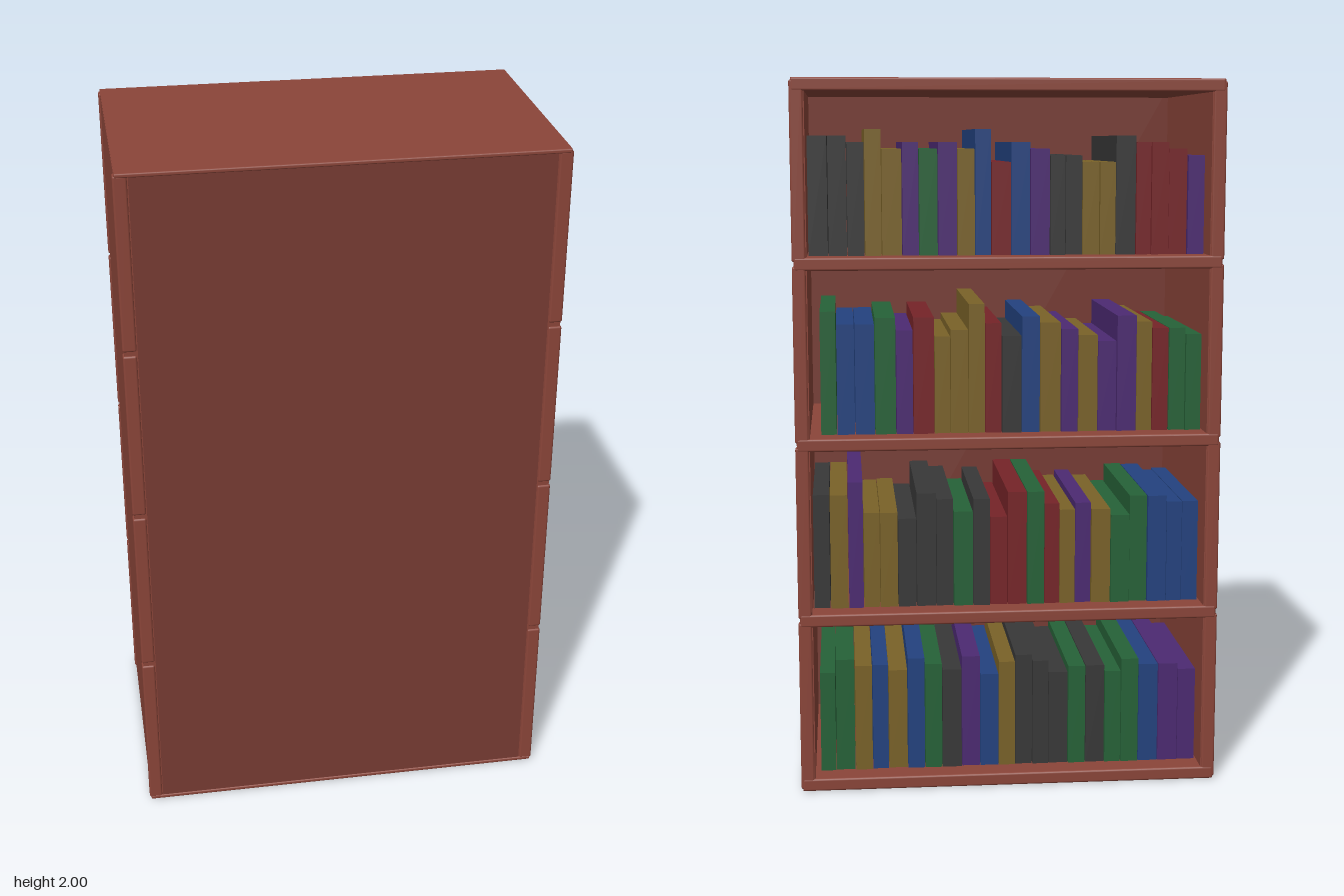
import * as THREE from 'three';
import { RoundedBoxGeometry } from 'three/addons/geometries/RoundedBoxGeometry.js';

const mat = (color) => new THREE.MeshStandardMaterial({ color });

function addBox(parent, name, material, [x0, x1], [y0, y1], [z0, z1], radius = 0) {
  const size = [x1 - x0, y1 - y0, z1 - z0];
  const geometry = radius
    ? new RoundedBoxGeometry(...size, 2, radius)
    : new THREE.BoxGeometry(...size);
  const mesh = new THREE.Mesh(geometry, material);
  mesh.name = name;
  mesh.position.set((x0 + x1) / 2, (y0 + y1) / 2, (z0 + z1) / 2);
  parent.add(mesh);
  return mesh;
}

// Small seeded generator for book widths and depths
function seeded(seed) {
  return () => {
    seed = (seed * 16807) % 2147483647;
    return seed / 2147483647;
  };
}

export function createModel() {
  const model = new THREE.Group();
  model.name = 'bookcase';
  const wood = mat(0x8b4539);
  const panelWood = mat(0x773b33);
  const cover = {
    k: mat(0x383838), b: mat(0x23427f), r: mat(0x762428),
    g: mat(0x266238), p: mat(0x4c2a72), y: mat(0x7a6228),
  };

  const W = 0.592, D = 0.352, T = 0.036; // half width, half depth, board thickness
  const levels = [0, 0.5, 1, 1.5, 2];

  // Side boards
  for (const s of [-1, 1]) {
    const xs = s > 0 ? [W - T, W] : [-W, -W + T];
    addBox(model, s > 0 ? 'leftSide' : 'rightSide', wood, xs, [0.002, 1.998], [-D, D]);
  }

  // Closed panel on the +z side, the books face -z
  addBox(model, 'panel', panelWood, [-W + T, W - T], [0.006, 1.994], [0.315, 0.354]);

  // Bottom, shelves and top, each with a rounded lip along the open side
  levels.forEach((y, i) => {
    const outer = i === 0 || i === 4;
    const y0 = i === 0 ? 0 : i === 4 ? 2 - T : y - T / 2;
    const name = i === 0 ? 'bottom' : i === 4 ? 'top' : 'shelf';
    const w = outer ? W - 0.001 : W - T;
    addBox(model, name, wood, [-w, w], [y0, y0 + T], [-D + 0.002, outer ? D : 0.32]);
    addBox(model, name + 'Lip', wood, [-W, W], [y0, y0 + T], [-D - 0.005, -D + 0.025], 0.006);
  });
  for (const y0 of [0, 2 - T / 3]) {
    addBox(model, 'panelEdge', wood, [-W, W], [y0, y0 + T / 3], [D - 0.02, D + 0.005], 0.004);
  }

  // Corner posts, one length per compartment
  for (let i = 0; i < 4; i++) {
    for (const sx of [-1, 1]) {
      for (const sz of [-1, 1]) {
        const post = addBox(model, 'cornerPost', wood,
          [-0.019, 0.019], [levels[i] + 0.006, levels[i + 1] - 0.006], [-0.015, 0.015], 0.006);
        post.position.x = sx * (W - 0.0145);
        post.position.z = sz * (D - 0.011);
      }
    }
  }

  // Books per shelf, from the bottom up: pairs of cover letter and height step, from +x to -x
  const rows = [
    { books: 'g4g6y5b5y4b6g5k4p6b3y5k6k5k3g4k4g3g5b4p4p3', start: 0.54 },
    { books: 'k6y6p8y3y3k2k6k5g3k5r2r6g6r4y3p4y3g2g5b5b4b4', start: 0.552 },
    { books: 'g7b5b5g6p4r6y3y4y8r5k3b6y5p4y3p2p6y5r4g4g3', start: 0.525 },
    { books: 'k6k6k5y7y4p5g4p5y4b7r2b5p4k3k3y2y2k6r5r5r4p3', start: 0.552 },
  ];
  const rand = seeded(4217);
  rows.forEach(({ books, start }, r) => {
    const row = new THREE.Group();
    row.name = 'bookRow';
    model.add(row);
    const list = books.match(/../g).map(([c, step]) => (
      { c, h: 0.22 + 0.018 * Number(step), w: 0.85 + 0.3 * rand() }));
    const unit = (start + 0.552) / list.reduce((sum, book) => sum + book.w, 0);
    const y0 = r === 0 ? T : levels[r] + T / 2;
    let x = start;
    for (const { c, h, w } of list) {
      const z0 = -0.285 + 0.01 * (rand() - 0.5);
      const z1 = 0.2 + 0.04 * rand();
      addBox(row, 'book', cover[c], [x - w * unit + 0.002, x], [y0, y0 + h], [z0, z1]);
      x -= w * unit;
    }
  });

  return model;
}
